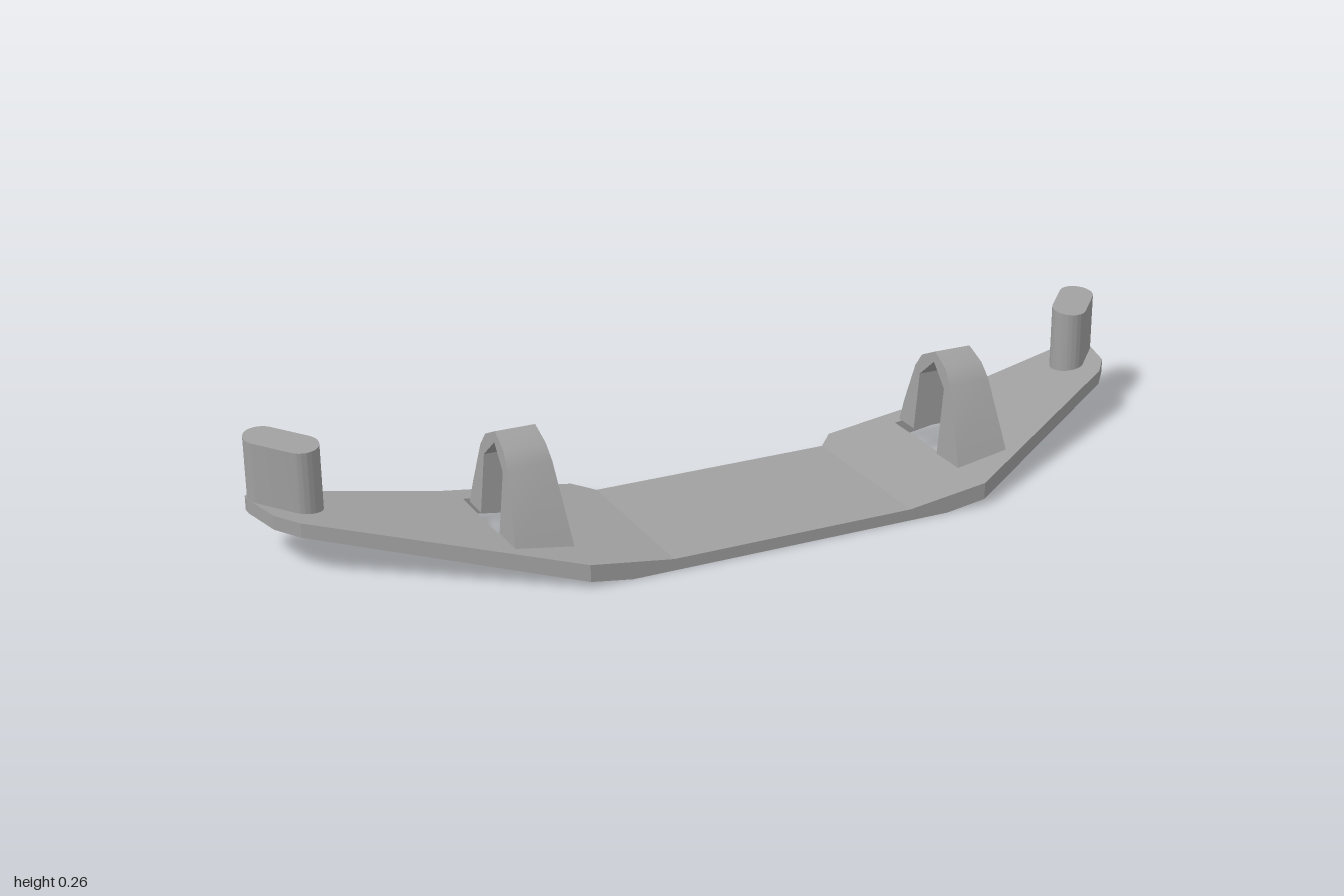
import * as THREE from 'three';
import { toCreasedNormals } from 'three/addons/utils/BufferGeometryUtils.js';

const grey = new THREE.MeshStandardMaterial({ color: 0xa0a0a0 });
grey.name = 'grey';

// Plate faces bend upward towards the tips
const bottomY = x => Math.max(0, 0.148 * (Math.abs(x) - 0.36));
const topY = x => 0.025 + Math.max(0, 0.137 * (Math.abs(x) - 0.27));

// Plate outline, half width: [x, z]
const frontEdge = [[0, 0.241], [0.45, 0.241], [0.936, -0.059], [0.976, -0.107], [1, -0.2]];
const backEdge = [[0, -0.144], [0.27, -0.144], [0.31, -0.187], [0.6, -0.187], [0.95, -0.238], [0.976, -0.241], [1, -0.22]];
const stations = [0, 0.27, 0.31, 0.36, 0.45, 0.57, 0.6, 0.936, 0.95, 0.976, 1];
const hole = { x0: 0.45, x1: 0.57, front: 0.055, back: -0.137 };

function along(edge, x) {
  const i = Math.max(1, edge.findIndex(p => p[0] >= x));
  const [a, b] = [edge[i - 1], edge[i]];
  return a[1] + (b[1] - a[1]) * (x - a[0]) / (b[0] - a[0]);
}

function plateGeometry() {
  const pos = [];
  for (const s of [1, -1]) {
    const quad = (...q) => {
      if (s < 0) q.reverse();
      for (const i of [0, 1, 2, 0, 2, 3]) pos.push(s * q[i][0], q[i][1], q[i][2]);
    };
    const top = (x, z) => [x, topY(x), z];
    const low = (x, z) => [x, bottomY(x), z];
    // One strip: top, underside, front wall and back wall
    const strip = (a, b, fa, fb, ba, bb) => {
      quad(top(a, fa), top(b, fb), top(b, bb), top(a, ba));
      quad(low(a, ba), low(b, bb), low(b, fb), low(a, fa));
      quad(low(a, fa), low(b, fb), top(b, fb), top(a, fa));
      quad(low(b, bb), low(a, ba), top(a, ba), top(b, bb));
    };
    for (let i = 1; i < stations.length; i++) {
      const a = stations[i - 1], b = stations[i];
      const fa = along(frontEdge, a), fb = along(frontEdge, b);
      const ba = along(backEdge, a), bb = along(backEdge, b);
      if (a === hole.x0) {
        strip(a, b, fa, fb, hole.front, hole.front);
        strip(a, b, hole.back, hole.back, ba, bb);
      } else strip(a, b, fa, fb, ba, bb);
    }
    // Hole side walls and the tip
    const wall = (x, f, b) => quad(low(x, f), low(x, b), top(x, b), top(x, f));
    wall(hole.x0, hole.front, hole.back);
    wall(hole.x1, hole.back, hole.front);
    wall(1, -0.2, -0.22);
  }
  const g = new THREE.BufferGeometry();
  g.setAttribute('position', new THREE.Float32BufferAttribute(pos, 3));
  g.computeVertexNormals();
  return g;
}

// Arched loop, drawn in side profile (z, y) and widening towards its feet
function archGeometry() {
  const profile = [
    [0.055, 0.042], [0.147, 0.042], [0.077, 0.21], [0.052, 0.24], [0.004, 0.263],
    [-0.046, 0.24], [-0.068, 0.21], [-0.097, 0.122], [-0.11, 0.07],
    [-0.047, 0.07], [-0.047, 0.196], [0.004, 0.24], [0.055, 0.196],
  ];
  const g = new THREE.ExtrudeGeometry(
    new THREE.Shape(profile.map(p => new THREE.Vector2(...p))), { depth: 1, bevelEnabled: false });
  g.translate(0, 0, -0.5).rotateY(-Math.PI / 2);
  const p = g.attributes.position;
  for (let i = 0; i < p.count; i++) {
    p.setX(i, p.getX(i) * (0.086 + 0.18 * (0.263 - p.getY(i))));
  }
  return toCreasedNormals(g, 0.6);
}

// Upright peg with a rounded slot section and a top sloping up to the back
function pegGeometry(s) {
  const a = new THREE.Vector2(s * 0.902, 0.142), b = new THREE.Vector2(s * 0.961, 0.202);
  const t = Math.atan2(b.y - a.y, b.x - a.x), r = 0.038;
  const shape = new THREE.Shape();
  shape.absarc(b.x, b.y, r, t - Math.PI / 2, t + Math.PI / 2);
  shape.absarc(a.x, a.y, r, t + Math.PI / 2, t + Math.PI * 1.5);
  const g = new THREE.ExtrudeGeometry(shape, { depth: 1, bevelEnabled: false, curveSegments: 16 });
  g.rotateX(-Math.PI / 2);
  const p = g.attributes.position;
  for (let i = 0; i < p.count; i++) {
    const z = p.getZ(i);
    p.setY(i, p.getY(i) > 0.5 ? 0.242 + 0.128 * (-0.104 - z) : bottomY(p.getX(i)) + 0.004);
  }
  return toCreasedNormals(g, 0.6);
}

export function createModel() {
  const model = new THREE.Group();
  model.name = 'bracket';
  const add = (name, geometry, x = 0) => {
    const mesh = new THREE.Mesh(geometry, grey);
    mesh.name = name;
    mesh.position.x = x;
    model.add(mesh);
  };
  add('plate', plateGeometry());
  for (const [side, s] of [['left', 1], ['right', -1]]) {
    add(side + 'Arch', archGeometry(), s * 0.505);
    add(side + 'Peg', pegGeometry(s));
  }
  return model;
}
